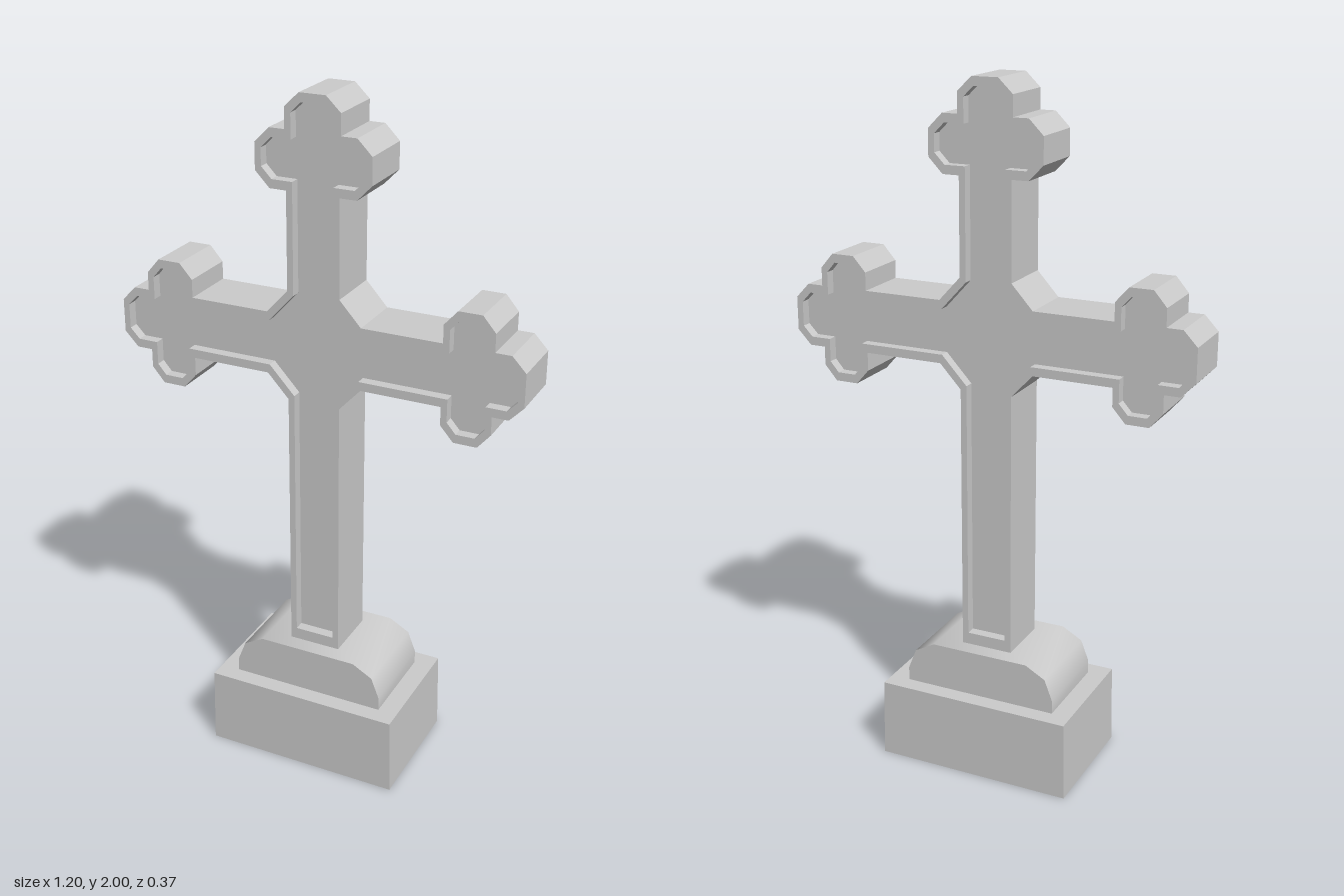
import * as THREE from 'three';
import { toCreasedNormals } from 'three/addons/utils/BufferGeometryUtils.js';

const material = new THREE.MeshStandardMaterial({ color: 0xcccccc });
const THICKNESS = 0.17, RECESS = 0.03;

// Right half of the cross outline, from the foot up to the top
const halfOutline = [
  [0.077, 0.37], [0.077, 1.15], [0.14, 1.218],
  // arm with its three-lobed tip
  [0.372, 1.218], [0.372, 1.165], [0.41, 1.122], [0.477, 1.122], [0.514, 1.165], [0.514, 1.218],
  [0.56, 1.218], [0.6, 1.26], [0.6, 1.356],
  [0.56, 1.398], [0.514, 1.398], [0.514, 1.45], [0.477, 1.493], [0.41, 1.493], [0.372, 1.45], [0.372, 1.398],
  [0.14, 1.398], [0.077, 1.467],
  // three-lobed top
  [0.077, 1.742], [0.125, 1.742], [0.167, 1.785], [0.167, 1.86], [0.125, 1.902],
  [0.08, 1.902], [0.08, 1.96], [0.038, 2],
];

// Mirror a half outline into a closed counter-clockwise loop
function mirrored(half) {
  const right = half.map(([x, y]) => new THREE.Vector2(x, y));
  const left = right.map(p => new THREE.Vector2(-p.x, p.y)).reverse();
  return [...right, ...left];
}

// Move each edge inwards and meet at the mitred corners; the rim is wider vertically
function inset(points, dx, dy) {
  const k = dy / dx, n = points.length;
  const pts = points.map(p => new THREE.Vector2(p.x, p.y / k));
  return pts.map((p, i) => {
    const a = p.clone().sub(pts[(i + n - 1) % n]).normalize();
    const b = pts[(i + 1) % n].clone().sub(p).normalize();
    const na = new THREE.Vector2(-a.y, a.x), nb = new THREE.Vector2(-b.y, b.x);
    const miter = na.clone().add(nb).multiplyScalar(dx / (1 + na.dot(nb)));
    return new THREE.Vector2(p.x + miter.x, (p.y + miter.y) * k);
  });
}

// Extrude a shape centred on z = 0
function slab(shape, depth) {
  return new THREE.ExtrudeGeometry(shape, { depth, bevelEnabled: false }).translate(0, 0, -depth / 2);
}

function addPart(group, name, geometry) {
  const mesh = new THREE.Mesh(geometry, material);
  mesh.name = name;
  group.add(mesh);
}

export function createModel() {
  const group = new THREE.Group();
  group.name = 'stoneCross';

  // Base block, very slightly tapered
  const base = new THREE.BoxGeometry(0.588, 0.235, 0.37).translate(0, 0.1175, 0);
  const pos = base.attributes.position;
  for (let i = 0; i < pos.count; i++) {
    if (pos.getY(i) > 0.1) pos.setX(i, pos.getX(i) * 0.985);
  }
  base.computeVertexNormals();
  addPart(group, 'baseBlock', base);

  // Plinth with rounded shoulders
  const plinthOutline = mirrored([[0.232, 0.235], [0.232, 0.275], [0.208, 0.337], [0.148, 0.37]]);
  addPart(group, 'plinth', toCreasedNormals(slab(new THREE.Shape(plinthOutline), 0.27), 0.9));

  // Raised rim around the cross, open in the middle
  const outer = mirrored(halfOutline);
  const inner = inset(outer, 0.018, 0.025);
  inner[0].y = inner[inner.length - 1].y = 0.405;
  const rim = new THREE.Shape(outer);
  rim.holes.push(new THREE.Path(inner));
  addPart(group, 'crossRim', slab(rim, THICKNESS));

  // Sunken panel, recessed on front and back
  addPart(group, 'crossPanel', slab(new THREE.Shape(inner), THICKNESS - 2 * RECESS));

  return group;
}
